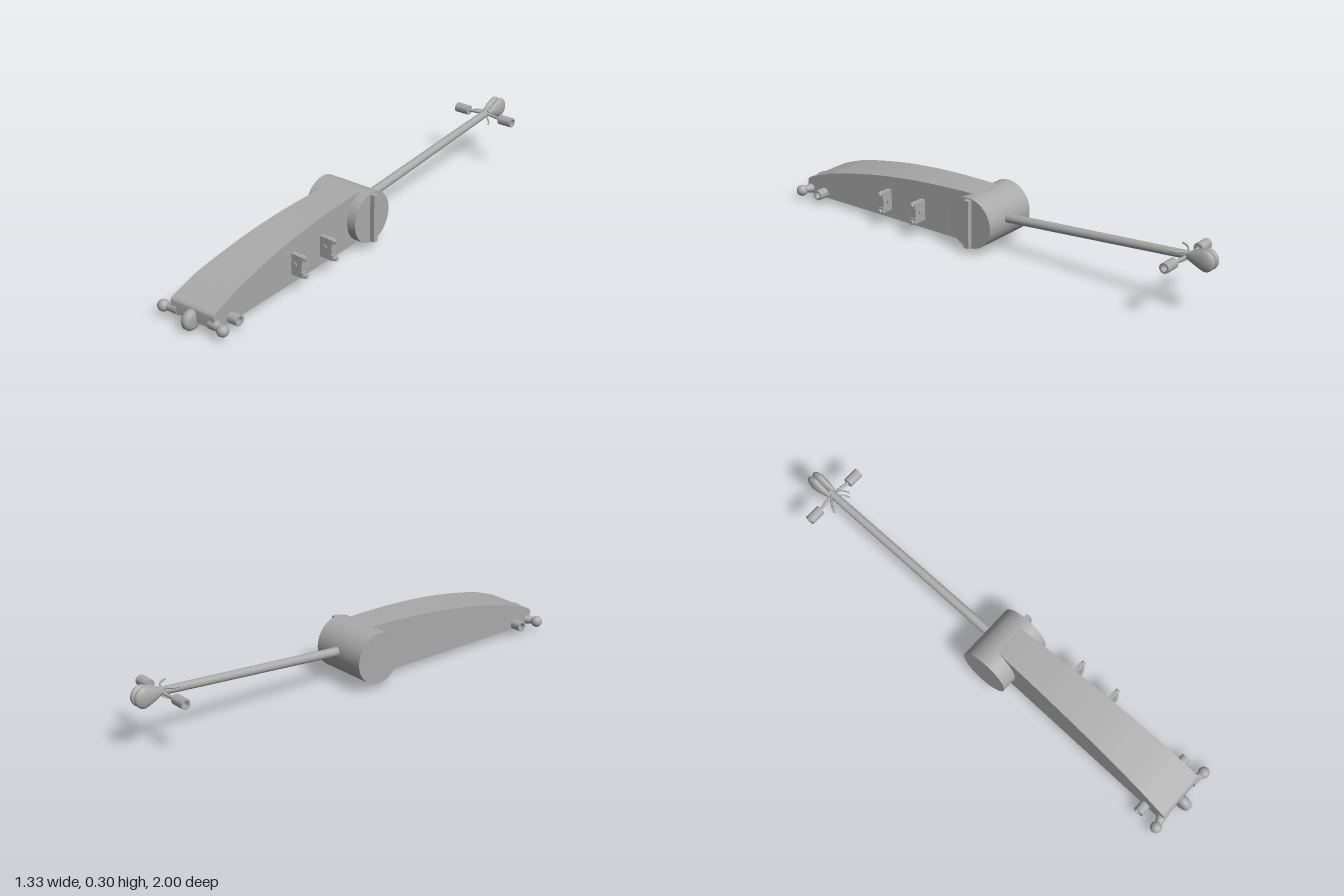
import * as THREE from 'three';
import { toCreasedNormals } from 'three/addons/utils/BufferGeometryUtils.js';

const V = (x, y, z) => new THREE.Vector3(x, y, z);

export function createModel() {
  const root = new THREE.Group();
  root.name = 'instrument';
  const grey = new THREE.MeshStandardMaterial({ color: 0xaaaaaa });
  grey.name = 'plain grey';

  // Everything is laid out along z, then the whole assembly is turned.
  const g = new THREE.Group();
  g.name = 'assembly';
  g.rotation.y = -Math.PI / 6;
  g.position.set(-0.003, 0, 0.027);
  root.add(g);

  function add(name, geometry, parent = g) {
    const mesh = new THREE.Mesh(geometry, grey);
    mesh.name = name;
    parent.add(mesh);
    return mesh;
  }
  // Tapered round bar between two points
  function bar(name, a, b, ra, rb = ra, parent = g) {
    const mesh = add(name, new THREE.CylinderGeometry(rb, ra, a.distanceTo(b), 24), parent);
    mesh.position.copy(a).add(b).multiplyScalar(0.5);
    mesh.quaternion.setFromUnitVectors(V(0, 1, 0), b.clone().sub(a).normalize());
    return mesh;
  }
  function box(name, w, h, d, x, y, z, parent = g) {
    const mesh = add(name, new THREE.BoxGeometry(w, h, d), parent);
    mesh.position.set(x, y, z);
    return mesh;
  }
  // Thick-walled open tube lying along x
  function sleeve(name, x0, x1, y, z, r, inner) {
    const profile = [[inner, 0], [r, 0], [r, x1 - x0], [inner, x1 - x0], [inner, 0]]
      .map(([a, b]) => new THREE.Vector2(a, b));
    const geo = toCreasedNormals(new THREE.LatheGeometry(profile, 20), 0.6);
    const mesh = add(name, geo.rotateZ(-Math.PI / 2));
    mesh.position.set(x0, y, z);
  }

  // Body: arched side profile, wider toward the tail
  const side = new THREE.Shape();
  side.moveTo(0, 0.03);
  side.lineTo(0.97, 0.03);
  side.lineTo(1.0, 0.04);
  side.lineTo(1.0, 0.093);
  side.quadraticCurveTo(0.998, 0.104, 0.985, 0.11);
  side.splineThru([[0.9, 0.143], [0.81, 0.171], [0.57, 0.22], [0.33, 0.25], [0.1, 0.264], [0, 0.265]]
    .map(([a, b]) => new THREE.Vector2(a, b)));
  side.closePath();
  let bodyGeo = new THREE.ExtrudeGeometry(side, { depth: 2, bevelEnabled: false, curveSegments: 5 });
  bodyGeo.translate(0, 0, -1).rotateY(-Math.PI / 2);
  const p = bodyGeo.attributes.position;
  for (let i = 0; i < p.count; i++) p.setX(i, p.getX(i) * (0.075 + 0.043 * p.getZ(i)));
  add('body', toCreasedNormals(bodyGeo, 0.5));

  // Drum across the end of the body, with a grip ridge on one face
  bar('drum', V(-0.152, 0.148, 0), V(0.124, 0.148, 0), 0.1175).geometry =
    new THREE.CylinderGeometry(0.1175, 0.1175, 0.276, 64);
  box('drumRidge', 0.024, 0.225, 0.026, 0.134, 0.148, 0);

  // Tail: centre roller, side ball feet and sleeves
  const rollerProfile = [[0, -0.022], [0.026, -0.022], [0.038, -0.018], [0.045, -0.008],
    [0.043, 0], [0.045, 0.008], [0.038, 0.018], [0.026, 0.022], [0, 0.022]]
    .map(([a, b]) => new THREE.Vector2(a, b));
  const roller = add('tailRoller', new THREE.LatheGeometry(rollerProfile, 32).rotateZ(-Math.PI / 2));
  roller.position.set(0, 0.05, 1.01);
  box('tailFoot', 0.05, 0.016, 0.05, 0, 0.025, 0.93);
  for (const s of [-1, 1]) {
    const ball = add('tailBall', new THREE.SphereGeometry(0.026, 24, 16));
    ball.position.set(s * 0.162, 0.053, 0.998);
    bar('ballNeck', V(s * 0.095, 0.055, 0.98), V(s * 0.15, 0.053, 0.997), 0.028, 0.013);
    const x = [s * 0.1, s * 0.162].sort((a, b) => a - b);
    sleeve('tailSleeve', x[0], x[1], 0.053, 0.898, 0.024, 0.016);
  }

  // Two clasps on one flank: plate, boss and a pair of pegs
  for (const z of [0.3, 0.495]) {
    const clasp = new THREE.Group();
    clasp.name = 'clasp';
    clasp.position.set(0, 0.122, z);
    g.add(clasp);
    box('claspPlate', 0.06, 0.098, 0.022, 0.108, 0, 0, clasp);
    box('claspBridge', 0.02, 0.05, 0.022, 0.142, 0, 0, clasp);
    bar('claspBoss', V(0.113, 0, -0.016), V(0.113, 0, 0.016), 0.015, 0.015, clasp);
    for (const s of [-1, 1]) {
      box('claspEar', 0.026, 0.026, 0.026, 0.145, s * 0.036, 0, clasp);
      bar('claspPeg', V(0.14, s * 0.04, 0), V(0.172, s * 0.04, 0), 0.01, 0.01, clasp);
    }
  }

  // Long thin neck rising gently away from the drum
  bar('neck', V(0, 0.155, -0.03), V(0, 0.26, -1.06), 0.021, 0.018);

  // Head: two rounded lobes tapering into the neck
  for (const s of [-1, 1]) {
    const geo = new THREE.SphereGeometry(1, 28, 20);
    const q = geo.attributes.position;
    for (let i = 0; i < q.count; i++) {
      const z = q.getZ(i), t = Math.max(0, z);
      q.setXYZ(i, q.getX(i) * 0.02, q.getY(i) * 0.047 * (1 - 0.3 * t), z * (0.048 + 0.04 * t));
    }
    geo.computeVertexNormals();
    const lobe = add('headLobe', geo);
    lobe.position.set(s * 0.015, 0.262, -1.13);
  }

  // Tuning pegs, their stems and the curved prongs
  for (const s of [-1, 1]) {
    const x = [s * 0.09, s * 0.158].sort((a, b) => a - b);
    sleeve('pegSleeve', x[0], x[1], 0.252, -1.034, 0.023, 0.014);
    bar('pegStem', V(0, 0.256, -1.045), V(s * 0.094, 0.252, -1.034), 0.007);
    bar('pegCollar', V(s * 0.088, 0.252, -1.034), V(s * 0.098, 0.252, -1.034), 0.022);
    for (const h of [-1, 1]) {
      const path = new THREE.CatmullRomCurve3([
        V(0, 0.256 + h * 0.01, -1.05), V(s * 0.022, 0.255 + h * 0.02, -1.03),
        V(s * 0.04, 0.253 + h * 0.024, -1.012), V(s * 0.05, 0.252 + h * 0.026, -0.985)]);
      add('prong', new THREE.TubeGeometry(path, 12, 0.004, 8));
    }
  }
  return root;
}
